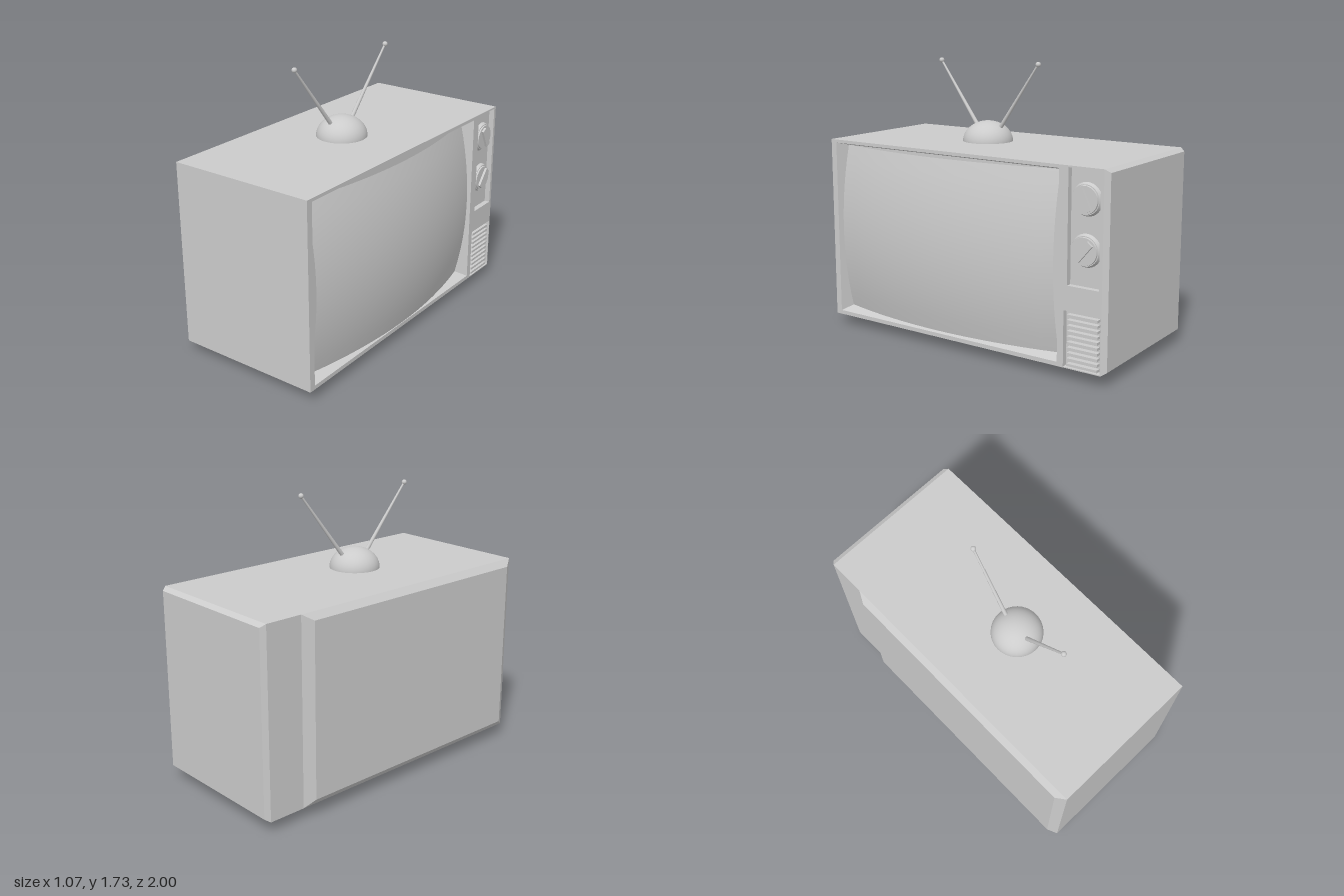
import * as THREE from 'three';

const material = new THREE.MeshStandardMaterial({ color: 0xcccccc });

// Four-cornered rings, counter-clockwise seen from the positive end of their axis
const ringX = (x, z0, z1, y0, y1) => [[x, y0, z1], [x, y0, z0], [x, y1, z0], [x, y1, z1]];
const ringY = (y, x0, x1, z0, z1) => [[x0, y, z1], [x1, y, z1], [x1, y, z0], [x0, y, z0]];
const ringZ = (z, x0, x1, y0, y1) => [[x0, y0, z], [x1, y0, z], [x1, y1, z], [x0, y1, z]];

// Joins rings with flat faces; keep(segment, side) can leave faces out
function loft(rings, capStart, capEnd, keep = () => true) {
  const pos = [];
  const quad = (a, b, c, d) => pos.push(...a, ...b, ...c, ...a, ...c, ...d);
  for (let s = 0; s < rings.length - 1; s++) {
    const A = rings[s], B = rings[s + 1];
    for (let i = 0; i < 4; i++) {
      const j = (i + 1) % 4;
      if (keep(s, i)) quad(A[i], A[j], B[j], B[i]);
    }
  }
  if (capStart) quad(...[...rings[0]].reverse());
  if (capEnd) quad(...rings[rings.length - 1]);
  const g = new THREE.BufferGeometry();
  g.setAttribute('position', new THREE.Float32BufferAttribute(pos, 3));
  g.computeVertexNormals();
  return g;
}

function add(parent, name, geometry) {
  const mesh = new THREE.Mesh(geometry, material);
  mesh.name = name;
  parent.add(mesh);
  return mesh;
}

export function createModel() {
  const tv = new THREE.Group();
  tv.name = 'television';
  const FRONT = 0.44;

  // Cabinet with one chamfered end; its screen side is the separate front panel
  add(tv, 'cabinet', loft([
    ringZ(-1, -0.48, 0.42, 0.09, 1.2),
    ringZ(-0.97, -0.5, FRONT, 0.07, 1.22),
    ringZ(1, -0.5, FRONT, 0.07, 1.22),
  ], true, true, (s, i) => !(s === 1 && i === 1)));

  // Openings as [z0, z1, y0, y1]
  const screenHole = [-0.69, 0.96, 0.095, 1.2];
  const controlHole = [-0.95, -0.75, 0.55, 1.21];
  const grilleHole = [-0.965, -0.73, 0.076, 0.405];

  // Front panel with three openings
  const outline = (path, [z0, z1, y0, y1]) => path
    .moveTo(-z1, y0).lineTo(-z0, y0).lineTo(-z0, y1).lineTo(-z1, y1).closePath();
  const panel = outline(new THREE.Shape(), [-0.97, 1, 0.07, 1.22]);
  for (const hole of [screenHole, controlHole, grilleHole]) {
    panel.holes.push(outline(new THREE.Path(), hole));
  }
  add(tv, 'frontPanel', new THREE.ShapeGeometry(panel).rotateY(Math.PI / 2).translate(FRONT, 0, 0));

  // Recesses behind the openings
  add(tv, 'screenSurround', loft([
    ringX(FRONT, ...screenHole), ringX(0.36, -0.655, 0.925, 0.12, 1.18),
  ], false, true));
  add(tv, 'controlRecess', loft([ringX(FRONT, ...controlHole), ringX(0.405, ...controlHole)], false, true));
  add(tv, 'grilleRecess', loft([ringX(FRONT, ...grilleHole), ringX(0.405, ...grilleHole)], false, true));

  // Bulging screen
  const screen = new THREE.PlaneGeometry(1.58, 1.06, 16, 12).rotateY(Math.PI / 2);
  const p = screen.attributes.position;
  for (let i = 0; i < p.count; i++) {
    p.setX(i, 0.53 - 0.155 * p.getZ(i) ** 2 - 0.25 * p.getY(i) ** 2);
  }
  screen.computeVertexNormals();
  add(tv, 'screen', screen.translate(0, 0.65, 0.135));

  // Two dials, each with a stepped rim and a grip bar
  for (const [y, turn] of [[1.04, 0.45], [0.755, -0.7]]) {
    const dial = new THREE.Group();
    dial.name = 'dial';
    dial.position.set(0.405, y, -0.85);
    add(dial, 'dialRim', new THREE.CylinderGeometry(0.085, 0.095, 0.02, 32).rotateZ(-Math.PI / 2)).position.x = 0.01;
    add(dial, 'dialFace', new THREE.CylinderGeometry(0.078, 0.08, 0.01, 32).rotateZ(-Math.PI / 2)).position.x = 0.024;
    const grip = add(dial, 'dialGrip', new THREE.BoxGeometry(0.02, 0.13, 0.04));
    grip.position.x = 0.034;
    grip.rotation.x = turn;
    tv.add(dial);
  }

  // Speaker grille slats
  for (let i = 0; i < 10; i++) {
    add(tv, 'grilleSlat', new THREE.BoxGeometry(0.032, 0.015, 0.195))
      .position.set(0.421, 0.09 + i * 0.0318, -0.848);
  }

  // Raised back cover
  add(tv, 'backCover', loft([
    ringX(-0.535, -0.67, 0.94, 0.115, 1.18), ringX(-0.5, -0.735, 1, 0.07, 1.22),
  ], true, false));

  // Tapered foot
  add(tv, 'foot', loft([
    ringY(0, -0.33, 0.275, -0.43, 0.7), ringY(0.07, -0.365, 0.31, -0.5, 0.77),
  ], true, false));

  // Antenna dome and its two rods
  const dome = add(tv, 'antennaDome',
    new THREE.SphereGeometry(0.155, 32, 12, 0, Math.PI * 2, 0, Math.PI / 2).scale(1, 0.81, 1));
  dome.position.set(-0.013, 1.23, 0.105);
  const rods = [
    [[-0.025, 1.31, 0.185], [-0.05, 1.71, 0.49]],
    [[-0.01, 1.31, 0.015], [0.025, 1.715, -0.285]],
  ];
  for (const [from, to] of rods) {
    const a = new THREE.Vector3(...from), b = new THREE.Vector3(...to);
    const rod = add(tv, 'antennaRod', new THREE.CylinderGeometry(0.006, 0.013, a.distanceTo(b), 12));
    rod.position.copy(a).lerp(b, 0.5);
    rod.quaternion.setFromUnitVectors(new THREE.Vector3(0, 1, 0), b.clone().sub(a).normalize());
    add(tv, 'antennaTip', new THREE.SphereGeometry(0.016, 16, 12)).position.copy(b);
  }
  return tv;
}
